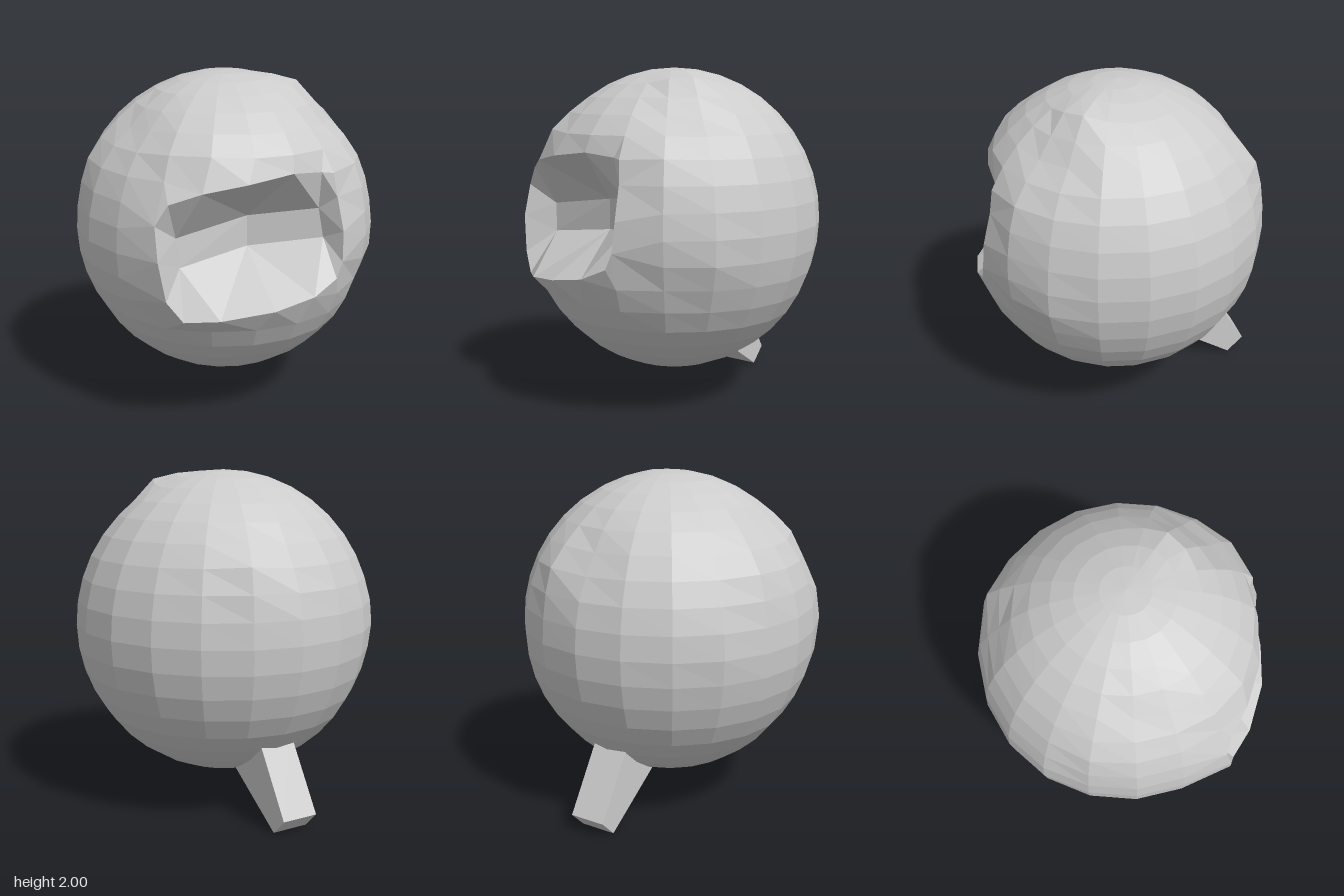
import * as THREE from 'three';

const ROWS = 20, COLS = 20, CY = 1.09;

// Small bumps (+) and dents (-): direction from the centre, then height
const KNOCKS = [
  [0.42, 0.84, 0.03, 0.05], [0.6, 0.64, 0.1, -0.035], [0.8, 0.41, 0.2, 0.02],
  [0.88, -0.14, 0, 0.015], [0.8, -0.28, 0.15, -0.025], [-0.1, 0.53, 0.74, 0.04],
  [-0.2, 0.41, -0.78, 0.035], [-0.45, 0.62, 0.42, -0.035], [-0.72, 0.41, 0.3, 0.02],
  [-0.45, 0.5, -0.6, -0.02], [-0.9, 0.05, -0.1, 0.012], [-0.27, -0.3, 0.82, 0.02],
].map(([x, y, z, h]) => ({ dir: new THREE.Vector3(x, y, z).normalize(), h }));

// Point of the dented ball at row i, column j
function ballPoint(i, j) {
  const t = (i / ROWS) * Math.PI, p = (j / COLS) * Math.PI * 2;
  const d = new THREE.Vector3(Math.sin(t) * Math.sin(p), Math.cos(t), Math.sin(t) * Math.cos(p));
  let k = 0;
  for (const { dir, h } of KNOCKS) k += h * Math.exp(-d.distanceToSquared(dir) / 0.03);
  return new THREE.Vector3(d.x * (0.892 + k), CY + d.y * (0.91 + k), d.z * (0.885 + k));
}

function flatMesh(name, points, side = THREE.FrontSide) {
  const geo = new THREE.BufferGeometry().setFromPoints(points);
  geo.computeVertexNormals();
  const mesh = new THREE.Mesh(geo, new THREE.MeshStandardMaterial({ color: 0xcccccc, flatShading: true, side }));
  mesh.name = name;
  return mesh;
}

// Triangles between two rings around the mouth, always taking the shorter diagonal
function stitch(outer, inner) {
  const angle = (v) => Math.atan2(v.y - 1.14, v.x - 0.2);
  const sorted = (ring) => [...ring].sort((a, b) => angle(a) - angle(b));
  const A = sorted(outer), B = sorted(inner), out = [];
  const at = (r, i) => r[i % r.length];
  let i = 0, j = 0;
  while (i < A.length || j < B.length) {
    const stepOuter = i < A.length && (j >= B.length
      || at(A, i + 1).distanceTo(at(B, j)) <= at(A, i).distanceTo(at(B, j + 1)));
    if (stepOuter) {
      out.push(at(A, i), at(A, i + 1), at(B, j));
      i++;
    } else {
      out.push(at(A, i), at(B, j + 1), at(B, j));
      j++;
    }
  }
  return out;
}

export function createModel() {
  const model = new THREE.Group();
  model.name = 'roundBoulder';

  // Mouth rim, lying on a slightly swollen ball surface
  const rim = [
    [-0.29, 1.29], [-0.22, 1.4], [-0.04, 1.46], [0.2, 1.5], [0.43, 1.53], [0.58, 1.51],
    [0.67, 1.37], [0.71, 1.18], [0.71, 1.01], [0.68, 0.92], [0.56, 0.85], [0.35, 0.81],
    [0.06, 0.775], [-0.14, 0.76], [-0.23, 0.88], [-0.27, 1.1],
  ].map(([x, y]) => {
    const r = 0.915 - 0.05 * x - 0.06 * (y - 1.1);
    return new THREE.Vector3(x, y, Math.sqrt(r * r - x * x - (y - CY) ** 2));
  });

  // Ball of rows and columns; a patch without its corner cells is left out around the mouth
  const [i0, i1, j0, j1] = [6, 13, -2, 4];
  const inPatch = (i, j) => i >= i0 && i < i1 && j >= j0 && j < j1
    && !((i === i0 || i === i1 - 1) && (j === j0 || j === j1 - 1));
  const tris = [], edge = [];
  for (let i = 0; i < ROWS; i++) {
    for (let j = -10; j < COLS - 10; j++) {
      const around = [inPatch(i, j), inPatch(i - 1, j), inPatch(i, j - 1), inPatch(i - 1, j - 1)];
      if (around.includes(true) && around.includes(false)) edge.push(ballPoint(i, j));
      if (inPatch(i, j)) continue;
      const a = ballPoint(i, j), b = ballPoint(i + 1, j);
      const c = ballPoint(i + 1, j + 1), d = ballPoint(i, j + 1);
      if (i < ROWS - 1) tris.push(a, b, c);
      if (i > 0) tris.push(a, c, d);
    }
  }
  model.add(flatMesh('ball', [...tris, ...stitch(edge, rim)]));

  // Mouth cavity: sloping walls down to a two-panel back
  const back = [
    [-0.2, 1.18, 0.7], [-0.18, 1.01, 0.7], [0.17, 1.06, 0.43],
    [0.6, 1.12, 0.42], [0.57, 1.29, 0.42], [0.17, 1.24, 0.43],
  ].map((p) => new THREE.Vector3(...p));
  const [lt, lb, mb, rb, rt, mt] = back;
  model.add(flatMesh('mouthCavity', [
    ...stitch(rim, back), lb, mb, mt, lb, mt, lt, mb, rb, rt, mb, rt, mt,
  ], THREE.DoubleSide));

  // Slanted peg at the lower back, wider where it enters the ball
  const pegGeo = new THREE.BoxGeometry(0.22, 0.5, 0.14);
  const pos = pegGeo.attributes.position;
  for (let i = 0; i < pos.count; i++) if (pos.getY(i) > 0) pos.setZ(i, pos.getZ(i) * 2.6);
  pegGeo.computeVertexNormals();
  const peg = new THREE.Mesh(pegGeo, new THREE.MeshStandardMaterial({ color: 0xcccccc, flatShading: true }));
  peg.name = 'peg';
  const turn = 0.67;
  peg.rotation.set(Math.PI / 4, turn, 0, 'YXZ');
  peg.position.set(-Math.sin(turn) * 0.613, 0.227, -Math.cos(turn) * 0.613 - 0.015);
  model.add(peg);

  return model;
}
